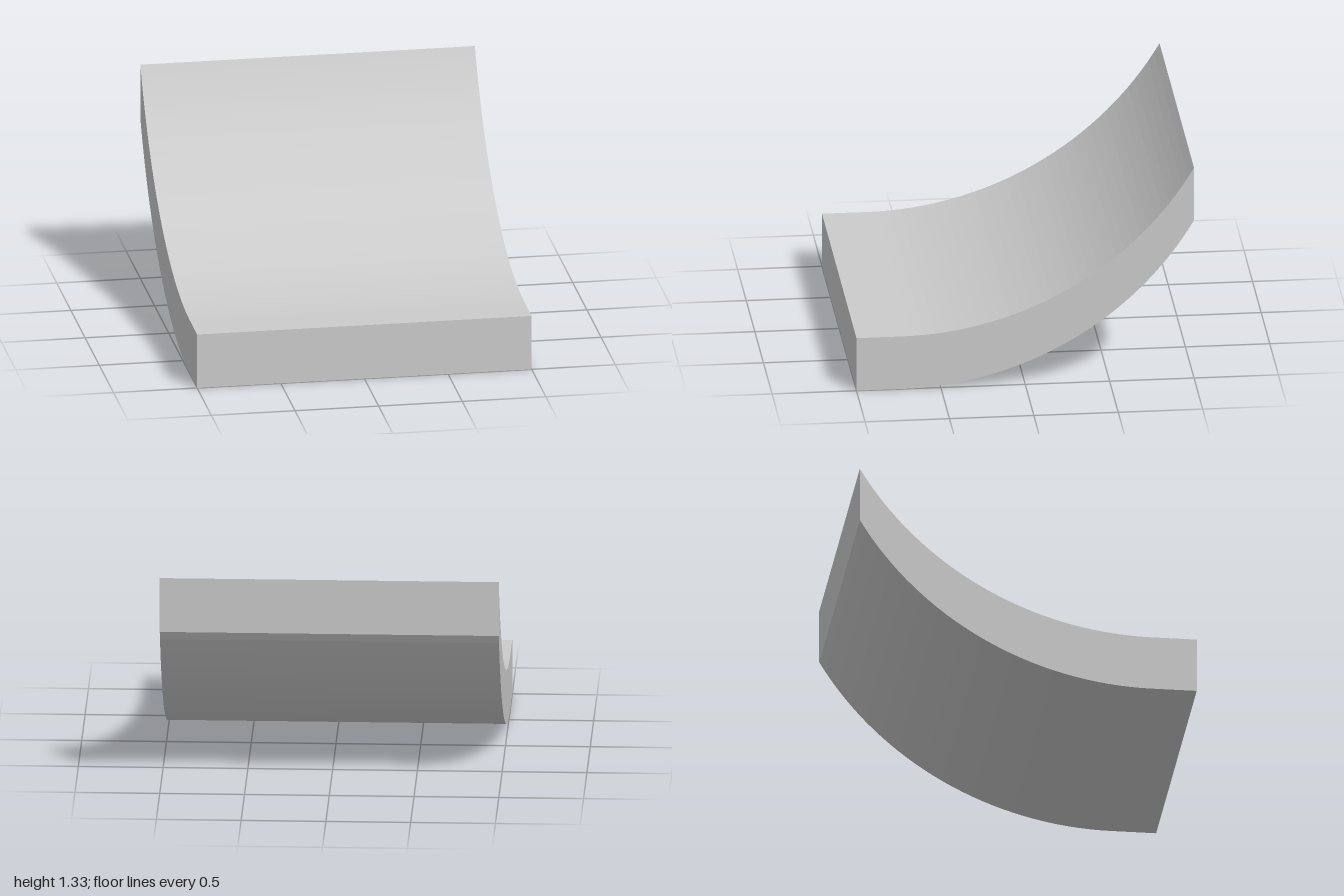
import * as THREE from 'three';

export function createModel() {
  const group = new THREE.Group();
  const thickness = 1 / 3, radius = 2, sweep = Math.PI / 3, segments = 32;
  const arcStart = radius * Math.sin(sweep) - 1; // flat lip lies in front of this z

  // Underside profile (z, y): short flat lip, then a 60 degree arc rising to the back
  const lower = [new THREE.Vector2(1, 0)];
  for (let i = 0; i <= segments; i++) {
    const a = (sweep * i) / segments;
    lower.push(new THREE.Vector2(arcStart - radius * Math.sin(a), radius * (1 - Math.cos(a))));
  }
  // Upper profile is the same curve raised straight up
  const upper = lower.map(p => new THREE.Vector2(p.x, p.y + thickness)).reverse();

  // Extrude across the width, with profile x turned to world z
  const geometry = new THREE.ExtrudeGeometry(new THREE.Shape([...lower, ...upper]), {
    depth: 2, bevelEnabled: false,
  });
  geometry.translate(0, 0, -1).rotateY(-Math.PI / 2);

  const ramp = new THREE.Mesh(geometry, new THREE.MeshStandardMaterial({ color: 0xcccccc }));
  ramp.name = 'curvedRamp';
  group.add(ramp);
  return group;
}
